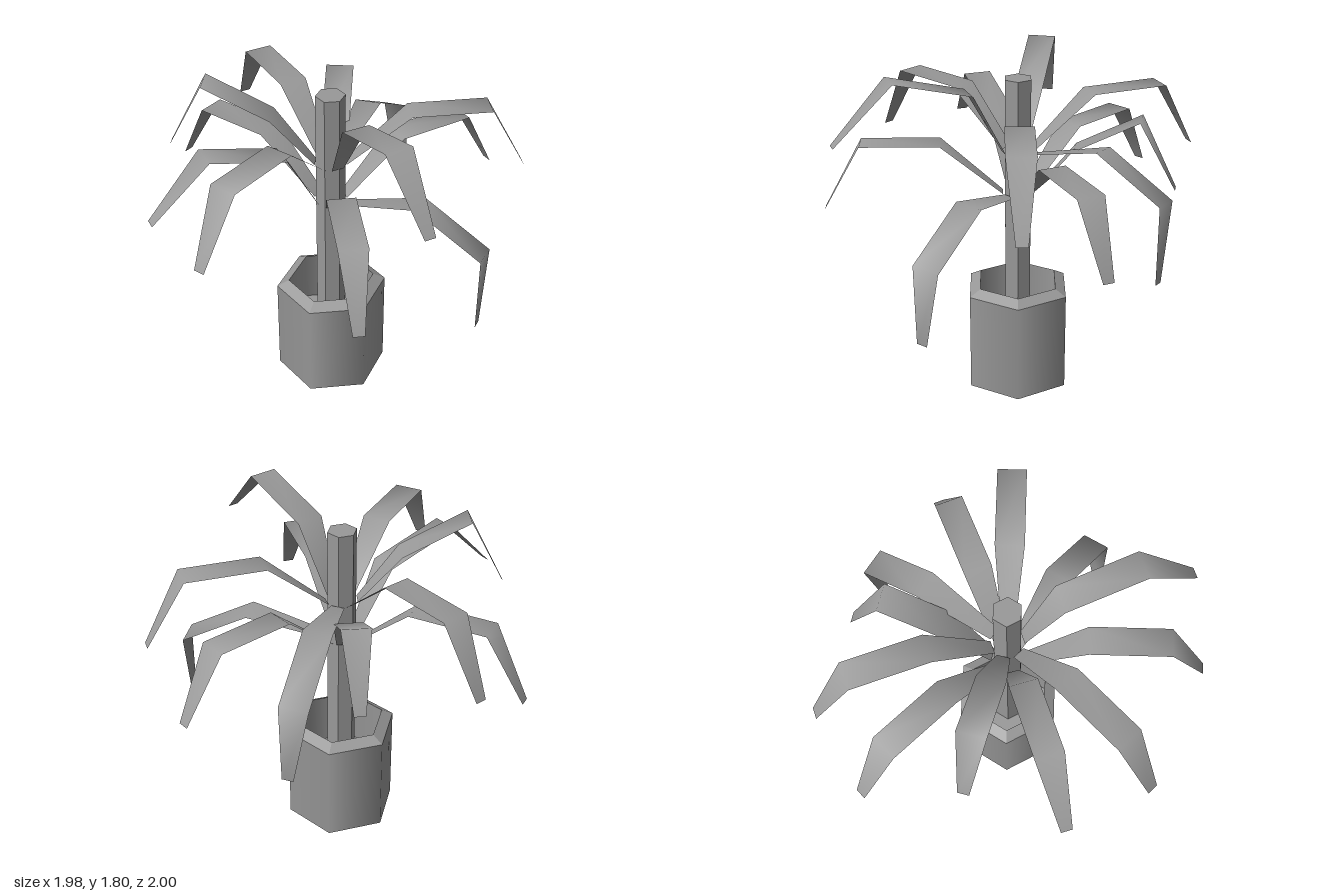
import * as THREE from 'three';

const GREY = 0x999999;
const CX = -0.037, CZ = -0.017;

// Leaf outlines: [distance from trunk axis, height above the leaf base] at base, fold, bend and tip
const level = [[0.08, 0], [0.41, 0.28], [0.83, 0.28], [1.03, -0.085]];
const raised = [[0.08, 0], [0.27, 0.35], [0.69, 0.46], [0.995, 0.15]];
const upright = [[0.08, 0], [0.3, 0.27], [0.645, 0.45], [0.835, 0.08]];
const drooping = [[0.08, 0], [0.5, 0.1], [0.87, -0.11], [0.865, -0.54]];
const halfWidths = [0.035, 0.075, 0.075, 0.03];

// Two whorls of six leaves: [heading in degrees from +x towards the back, outline, roll in degrees]
const whorls = [
  {
    name: 'upperLeaves', y: 1.34,
    leaves: [[0.5, level, 0], [58, drooping, -5], [112, level, 0], [167.5, upright, 0], [226, level, 0], [290.5, raised, 0]],
  },
  {
    name: 'lowerLeaves', y: 1.11,
    leaves: [[24, level, 0], [78.5, upright, 0], [135.5, level, 0], [199, raised, 0], [270.5, level, 0], [329, drooping, -5]],
  },
];

// A thin ribbon with four cross-sections running along +x
function leafGeometry(outline) {
  const positions = [], index = [];
  outline.forEach(([r, y], i) => {
    positions.push(r, y, halfWidths[i], r, y, -halfWidths[i]);
    if (i > 0) {
      const a = 2 * (i - 1);
      index.push(a, a + 2, a + 1, a + 1, a + 2, a + 3);
    }
  });
  const geometry = new THREE.BufferGeometry();
  geometry.setAttribute('position', new THREE.Float32BufferAttribute(positions, 3));
  geometry.setIndex(index);
  geometry.computeVertexNormals();
  return geometry;
}

export function createModel() {
  const model = new THREE.Group();
  model.name = 'pottedPalm';
  const smooth = new THREE.MeshStandardMaterial({ color: GREY });
  const flat = new THREE.MeshStandardMaterial({ color: GREY, flatShading: true });
  const thin = new THREE.MeshStandardMaterial({ color: GREY, side: THREE.DoubleSide });
  const inside = new THREE.MeshStandardMaterial({ color: GREY, side: THREE.BackSide });

  // Six-sided tube or prism standing between two heights, corners on the x axis
  function hexagon(name, parent, rTop, rBottom, y0, y1, material, open) {
    const geometry = new THREE.CylinderGeometry(rTop, rBottom, y1 - y0, 6, 1, open);
    geometry.rotateY(Math.PI / 2);
    const mesh = new THREE.Mesh(geometry, material);
    mesh.name = name;
    mesh.position.set(CX, (y0 + y1) / 2, CZ);
    parent.add(mesh);
  }

  // Hollow pot with a sloping rim
  const pot = new THREE.Group();
  pot.name = 'pot';
  model.add(pot);
  hexagon('potWall', pot, 0.3, 0.3, 0, 0.55, smooth, true);
  hexagon('potRim', pot, 0.235, 0.3, 0.55, 0.585, flat, true);
  hexagon('potInnerWall', pot, 0.235, 0.235, 0.3, 0.585, inside, true);
  hexagon('potBase', pot, 0.3, 0.3, 0, 0.005, flat, false);
  hexagon('soil', pot, 0.235, 0.235, 0.295, 0.3, flat, false);

  hexagon('trunk', model, 0.078, 0.078, 0.3, 1.74, flat, false);

  // Leaves
  for (const { name, y, leaves } of whorls) {
    const whorl = new THREE.Group();
    whorl.name = name;
    whorl.position.set(CX, y, CZ);
    for (const [heading, outline, roll] of leaves) {
      const leaf = new THREE.Mesh(leafGeometry(outline), thin);
      leaf.name = 'leaf';
      leaf.rotation.set(THREE.MathUtils.degToRad(roll), THREE.MathUtils.degToRad(heading), 0, 'YXZ');
      whorl.add(leaf);
    }
    model.add(whorl);
  }
  return model;
}
